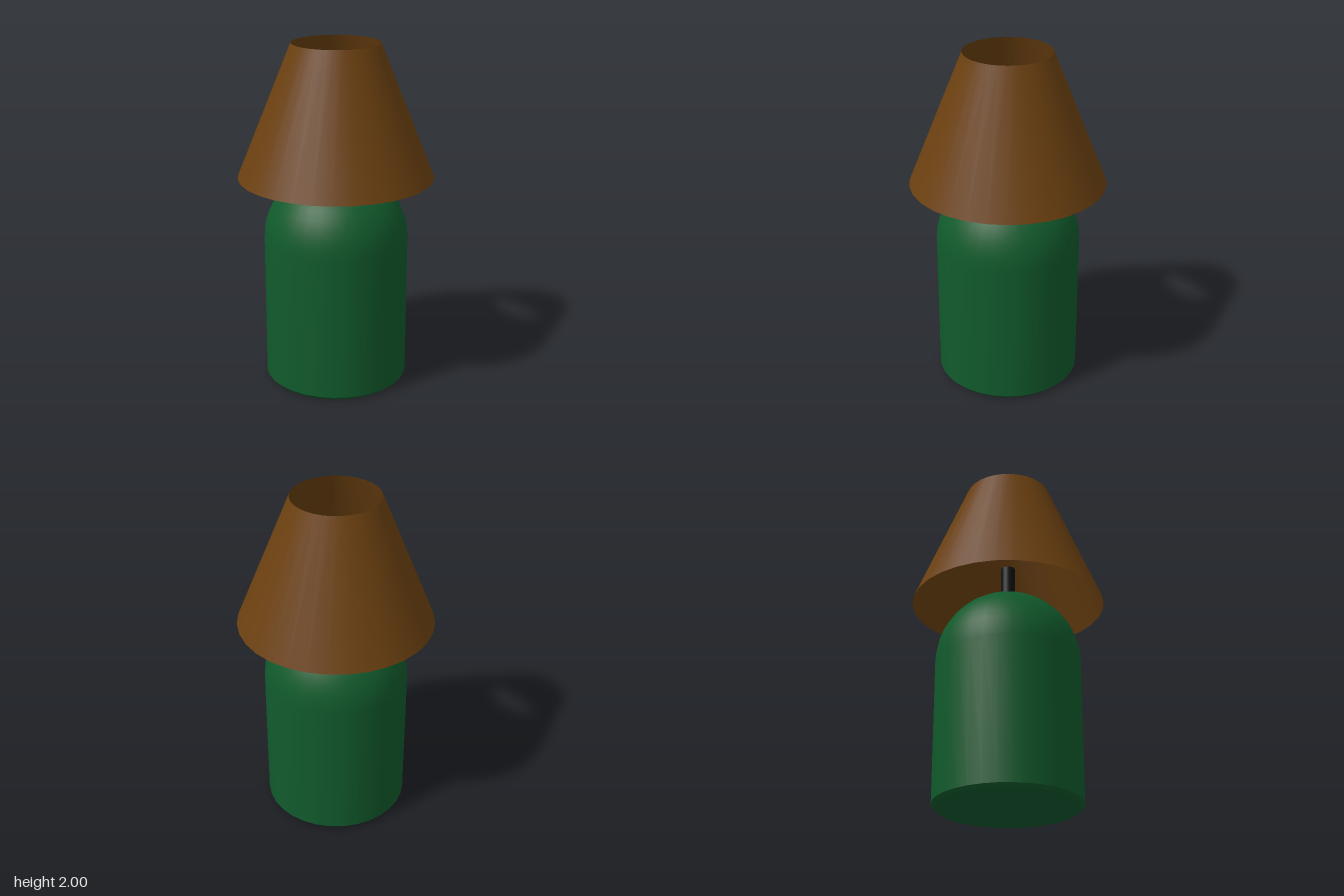
import * as THREE from 'three';
import { toCreasedNormals } from 'three/addons/utils/BufferGeometryUtils.js';

const SEGMENTS = 32;

function addMesh(group, name, geometry, color, side = THREE.FrontSide) {
  const mesh = new THREE.Mesh(geometry, new THREE.MeshStandardMaterial({ color, side }));
  mesh.name = name;
  group.add(mesh);
  return mesh;
}

export function createModel() {
  const lamp = new THREE.Group();
  lamp.name = 'tableLamp';

  // Base: flat foot with a small bevel, straight wall, hemispherical top
  const radius = 0.42, shoulder = 0.86, domeSteps = 12;
  const profile = [[0, 0], [0.4, 0], [radius, 0.02]].map(([x, y]) => new THREE.Vector2(x, y));
  for (let i = 0; i <= domeSteps; i++) {
    const a = (i / domeSteps) * Math.PI / 2;
    const r = i === domeSteps ? 0 : radius * Math.cos(a);
    profile.push(new THREE.Vector2(r, shoulder + radius * Math.sin(a)));
  }
  const baseGeometry = toCreasedNormals(new THREE.LatheGeometry(profile, SEGMENTS), 0.6);
  addMesh(lamp, 'base', baseGeometry, 0x115a2c);

  // Stem: short rod rising out of the dome into the shade
  const stemBottom = 1.2, stemTop = 1.48;
  const stem = addMesh(lamp, 'stem',
    new THREE.CylinderGeometry(0.042, 0.042, stemTop - stemBottom, SEGMENTS), 0x111111);
  stem.position.y = (stemBottom + stemTop) / 2;

  // Shade: thin open cone
  const shadeBottom = 1.23, shadeTop = 2;
  const shade = addMesh(lamp, 'shade',
    new THREE.CylinderGeometry(0.252, 0.565, shadeTop - shadeBottom, SEGMENTS, 1, true),
    0x6b4010, THREE.DoubleSide);
  shade.position.y = (shadeBottom + shadeTop) / 2;

  return lamp;
}
